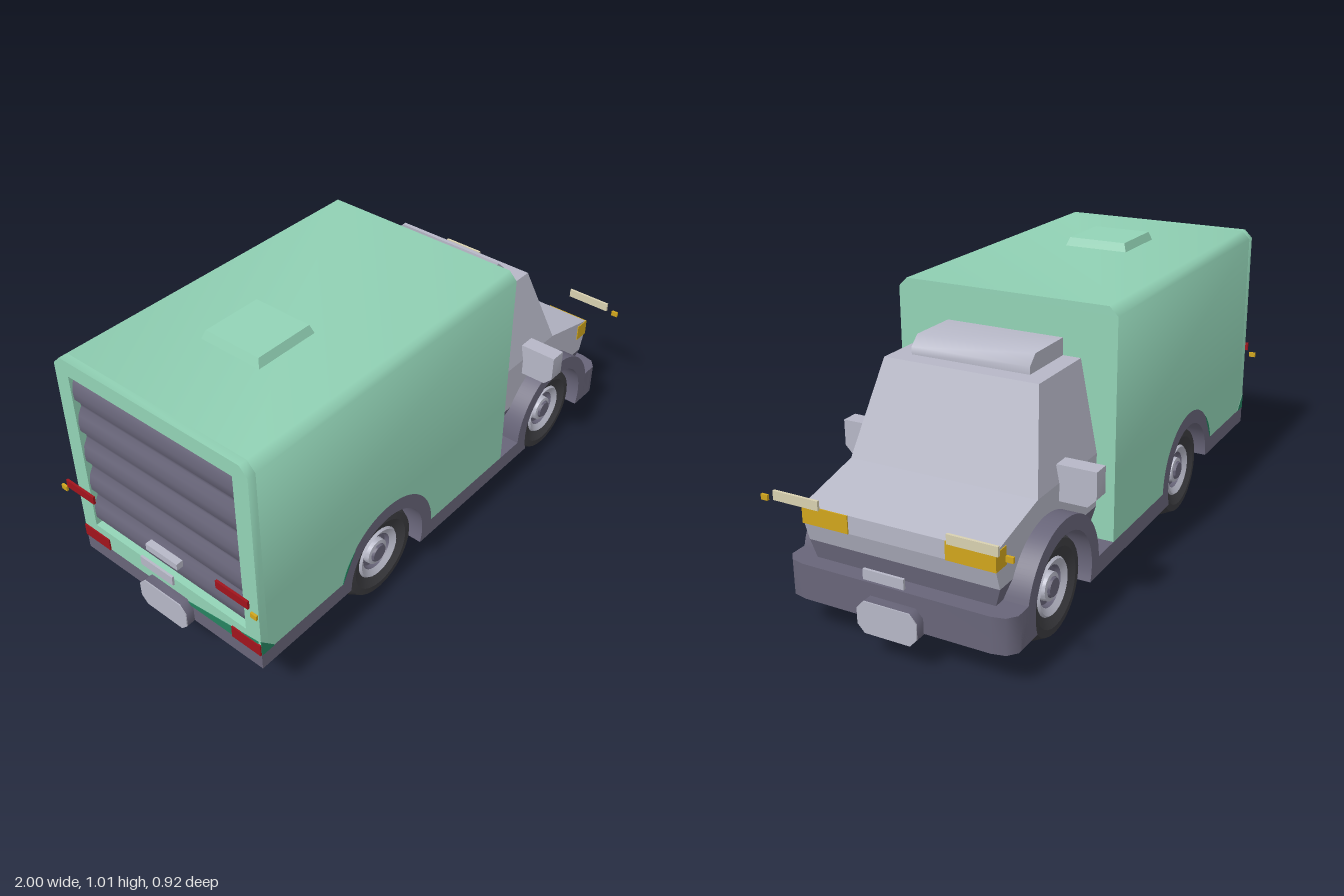
import * as THREE from 'three';
import { toCreasedNormals } from 'three/addons/utils/BufferGeometryUtils.js';

const mat = (name, color) => {
  const m = new THREE.MeshStandardMaterial({ color });
  m.name = name;
  return m;
};

export function createModel() {
  const green = mat('mint green', 0x92d3b6), deep = mat('deep green', 0x25825f);
  const grey = mat('light grey', 0xb6b7c6), slate = mat('slate', 0x686579);
  const rubber = mat('rubber', 0x3c3c40), amber = mat('amber', 0xd0a51c);
  const red = mat('red', 0xa0141c), cream = mat('cream', 0xd8d0b0);
  const truck = new THREE.Group();
  truck.name = 'boxTruck';

  const add = (name, geo, material, parent = truck) => {
    const mesh = new THREE.Mesh(geo, material);
    mesh.name = name;
    parent.add(mesh);
    return mesh;
  };
  const box = (name, m, x0, x1, y0, y1, z0, z1) =>
    add(name, new THREE.BoxGeometry(x1 - x0, y1 - y0, z1 - z0), m)
      .position.set((x0 + x1) / 2, (y0 + y1) / 2, (z0 + z1) / 2);
  const poly = pts => new THREE.Shape(pts.map(p => new THREE.Vector2(...p)));
  const extrude = (shape, depth) => toCreasedNormals(
    new THREE.ExtrudeGeometry(shape, { depth, bevelEnabled: false, curveSegments: 20 }), 0.9);
  // Side profile (x, y) extruded across z
  const across = (shape, z0, z1) => extrude(shape, z1 - z0).translate(0, 0, z0);
  // Cross-section (z, y) extruded along x
  const along = (shape, x0, x1) => extrude(shape, x1 - x0).rotateY(Math.PI / 2).translate(x0, 0, 0);

  const REAR = -0.365, FRONT = 0.63, AXLE = 0.185, ARCH = 0.235, PI = Math.PI;

  // Chassis with arched fenders; the outer layers have wheel openings
  const chassisShape = cut => {
    const s = new THREE.Shape();
    s.moveTo(-0.96, 0.185);
    s.lineTo(-0.96, 0.245);
    s.absarc(REAR, AXLE, ARCH, PI - 0.258, 0.02, true);
    s.absarc(FRONT, AXLE, ARCH, PI - 0.02, 0.258, true);
    s.lineTo(0.9, 0.245);
    s.lineTo(0.9, 0.125);
    if (cut) {
      s.absarc(FRONT, AXLE, 0.185, -0.33, PI + 0.33, false);
      s.absarc(REAR, AXLE, 0.185, -0.33, PI, false);
    } else {
      s.lineTo(-0.55, 0.125);
      s.lineTo(-0.55, 0.185);
    }
    return s;
  };
  add('chassisCore', across(chassisShape(false), -0.18, 0.18), slate);
  add('leftFenders', across(chassisShape(true), -0.4, -0.18), slate);
  add('rightFenders', across(chassisShape(true), 0.18, 0.4), slate);

  // Front bumper with cut corners
  const bumper = poly([[0.84, -0.4], [0.915, -0.4], [0.945, -0.375], [0.955, -0.33],
    [0.955, 0.33], [0.945, 0.375], [0.915, 0.4], [0.84, 0.4]]);
  add('frontBumper', extrude(bumper, 0.12).rotateX(-PI / 2).translate(0, 0.125, 0), slate);

  // Cargo body: lower sides notched around the rear arch, upper shell, rear frame
  const lower = new THREE.Shape();
  lower.moveTo(-0.93, 0.43);
  lower.lineTo(-0.93, 0.245);
  lower.absarc(REAR, AXLE, ARCH, PI - 0.258, 0.02, true);
  lower.lineTo(0.285, 0.19);
  lower.lineTo(0.285, 0.43);
  add('cargoLower', across(lower, -0.4, 0.4), green);
  const section = y0 => poly([[-0.4, y0], [0.4, y0], [0.4, 0.95], [0.37, 0.98], [-0.37, 0.98], [-0.4, 0.95]]);
  add('cargoUpper', along(section(0.43), -0.93, 0.285), green);
  const frame = section(0.245);
  frame.holes.push(poly([[-0.34, 0.32], [-0.34, 0.925], [0.34, 0.925], [0.34, 0.32]]));
  add('rearFrame', along(frame, -0.96, -0.93), green);

  // Roller shutter with bulging slats
  const slats = [[-0.928, 0.32]];
  for (let i = 0, h = 0.121; i < 5; i++) {
    const y = 0.32 + i * h;
    slats.push([-0.935, y + 0.005], [-0.953, y + 0.03], [-0.955, y + 0.06], [-0.95, y + 0.09], [-0.935, y + h - 0.005]);
  }
  slats.push([-0.928, 0.925]);
  add('rollerShutter', across(poly(slats.reverse()), -0.34, 0.34), slate);
  box('shutterHandle', grey, -0.975, -0.95, 0.395, 0.42, -0.07, 0.07);

  // Roof hatch: tapered block
  const hatch = new THREE.BoxGeometry(0.24, 0.03, 0.24);
  const hp = hatch.attributes.position;
  for (let i = 0; i < hp.count; i++)
    if (hp.getY(i) > 0) hp.setXYZ(i, hp.getX(i) * 0.91, hp.getY(i), hp.getZ(i) * 0.91);
  hatch.computeVertexNormals();
  add('roofHatch', hatch, green).position.set(-0.505, 0.995, 0);

  // Dark lower trim on both cargo sides
  const wedge = new THREE.Shape();
  wedge.moveTo(-0.905, 0.245);
  wedge.absarc(REAR, AXLE, ARCH, PI - 0.258, PI * 0.75, true);
  const corner = poly([[-0.96, 0.245], [-0.905, 0.245], [-0.96, 0.305]]);
  for (const z of [-0.402, 0.399]) {
    add('sideTrim', across(wedge, z, z + 0.003), deep);
    add('cornerTrim', across(corner, z, z + 0.003), deep);
  }
  add('rearTrim', along(poly([[0, 0.247], [-0.39, 0.247], [-0.39, 0.3]]), -0.962, -0.959), deep);

  // Cab: extruded side profiles whose half width follows height
  const cabPart = (name, pts, m, width) => {
    const g = new THREE.ExtrudeGeometry(poly(pts), { depth: 2, bevelEnabled: false });
    const p = g.attributes.position;
    for (let i = 0; i < p.count; i++) p.setZ(i, (p.getZ(i) - 1) * width(p.getY(i)));
    g.computeVertexNormals();
    add(name, g, m);
  };
  cabPart('cabSkirt', [[0.285, 0.19], [0.89, 0.19], [0.905, 0.305], [0.285, 0.305]], slate,
    y => 0.3 + 0.035 * (y - 0.19) / 0.115);
  cabPart('cabLower', [[0.285, 0.305], [0.905, 0.305], [0.925, 0.37], [0.925, 0.43], [0.68, 0.49], [0.285, 0.49]],
    grey, () => 0.335);
  cabPart('cabUpper', [[0.285, 0.49], [0.68, 0.49], [0.56, 0.8], [0.285, 0.8]], grey,
    y => 0.335 - 0.06 * (y - 0.49) / 0.31);
  add('roofFairing', across(poly([[0.285, 0.8], [0.5, 0.8], [0.5, 0.825], [0.465, 0.858], [0.285, 0.858]]),
    -0.212, 0.212), grey);

  // Paired details mirrored across the centre line
  for (const s of [-1, 1]) {
    const pair = (name, m, x0, x1, y0, y1, z0, z1) =>
      box(name, m, x0, x1, y0, y1, Math.min(s * z0, s * z1), Math.max(s * z0, s * z1));
    pair('headlightFront', amber, 0.92, 0.929, 0.37, 0.43, 0.17, 0.338);
    pair('headlightSide', amber, 0.87, 0.925, 0.37, 0.43, 0.33, 0.338);
    pair('frontLightBar', cream, 0.988, 0.997, 0.463, 0.494, 0.22, 0.385);
    pair('frontMarker', amber, 0.988, 0.997, 0.455, 0.473, 0.408, 0.432);
    pair('rearLightBar', red, -1, -0.992, 0.48, 0.51, 0.27, 0.4);
    pair('rearMarker', amber, -1, -0.992, 0.455, 0.473, 0.408, 0.432);
    pair('tailLight', red, -0.965, -0.958, 0.245, 0.29, 0.28, 0.4);
    // Extrusion along x flips z, so the mirrored outline is negated
    const pts = [[0.31, 0.43], [0.43, 0.43], [0.46, 0.46], [0.46, 0.55], [0.325, 0.55]];
    add('sideMirror', along(poly(pts.map(([z, y]) => [-s * z, y])), 0.485, 0.545), grey);
  }

  // Plates and eight-sided tow pads
  box('frontPlate', grey, 0.988, 0.997, 0.28, 0.314, -0.071, 0.071);
  box('rearPlate', grey, -1, -0.992, 0.35, 0.385, -0.071, 0.071);
  const pad = y => poly([[-0.08, y], [0.08, y], [0.105, y + 0.027], [0.105, y + 0.08],
    [0.08, y + 0.107], [-0.08, y + 0.107], [-0.105, y + 0.08], [-0.105, y + 0.027]]);
  add('frontTowPad', along(pad(0.095), 0.95, 0.988), slate);
  add('frontTowFace', along(pad(0.095), 0.988, 0.992), grey);
  add('rearTowPad', along(pad(0.158), -0.99, -0.955), slate);
  add('rearTowFace', along(pad(0.158), -0.994, -0.99), grey);

  // Wheels: concentric lathed rings from tyre to hub
  const ring = pts => toCreasedNormals(
    new THREE.LatheGeometry(pts.map(p => new THREE.Vector2(...p)), 28).toNonIndexed(), 0.5);
  const rings = [
    ['tyre', rubber, [[0, 0], [0.155, 0], [0.184, 0.05], [0.184, 0.12], [0.155, 0.182], [0.13, 0.185], [0.096, 0.17]]],
    ['rim', grey, [[0.096, 0.17], [0.09, 0.178], [0.068, 0.165]]],
    ['dish', slate, [[0.068, 0.165], [0.062, 0.15], [0.048, 0.15]]],
    ['hubRing', grey, [[0.048, 0.15], [0.046, 0.17], [0.034, 0.172]]],
    ['hub', slate, [[0.034, 0.172], [0.03, 0.18], [0, 0.18]]],
  ].map(([name, m, pts]) => [name, ring(pts), m]);
  for (const x of [REAR, FRONT]) for (const s of [-1, 1]) {
    const wheel = new THREE.Group();
    wheel.name = 'wheel';
    for (const [name, geo, m] of rings) add(name, geo, m, wheel);
    wheel.rotation.x = s * PI / 2;
    wheel.position.set(x, AXLE, s * 0.185);
    truck.add(wheel);
  }
  return truck;
}
